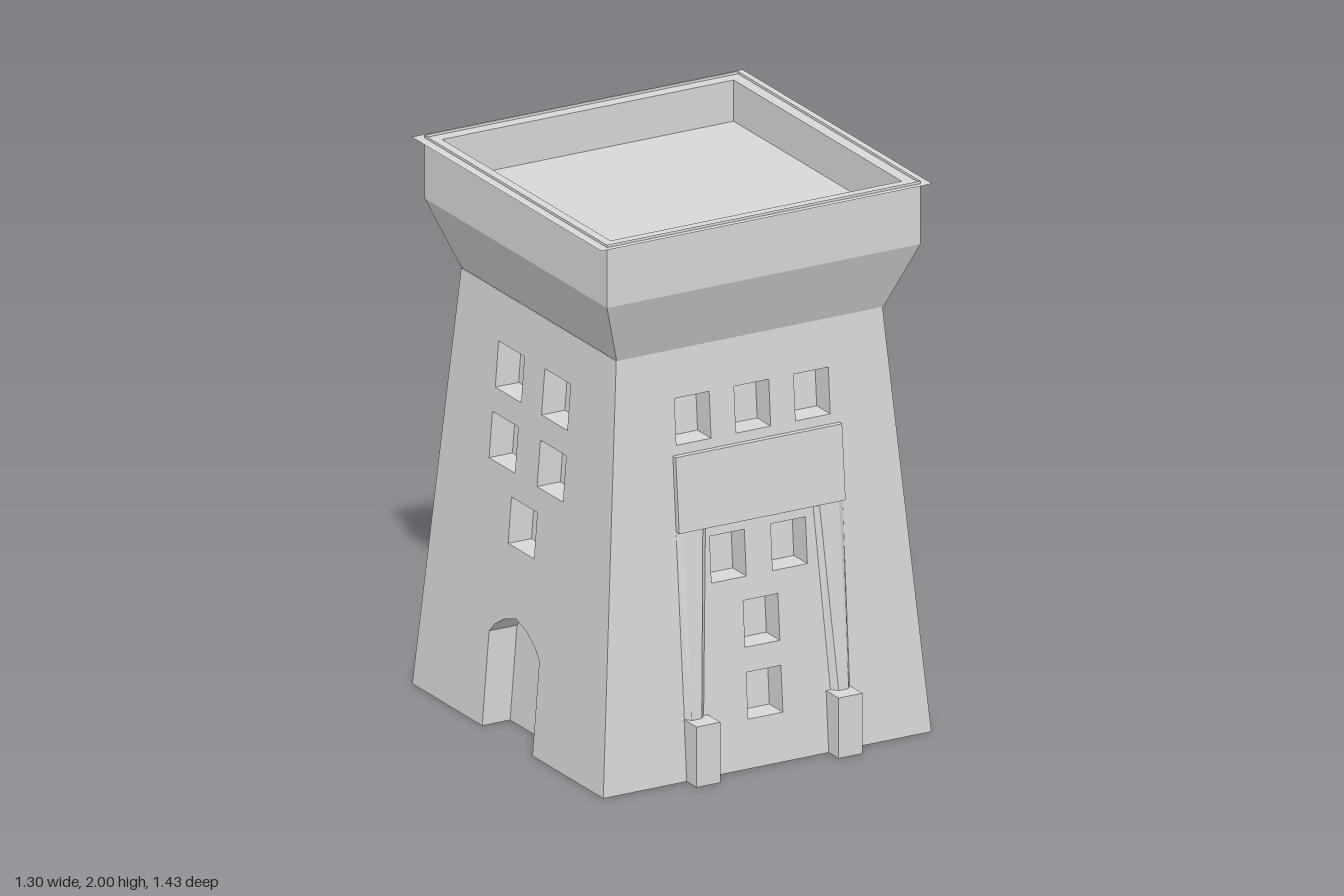
import * as THREE from 'three';

const WALL_TOP = 1.53;
const halfAt = (y) => 0.647 - (0.122 * y) / WALL_TOP; // battered wall half width

export function createModel() {
  const stone = new THREE.MeshStandardMaterial({ color: 0xd8d8d8, flatShading: true, side: THREE.DoubleSide });
  stone.name = 'grey stone';

  const add = (parent, name, geometry) => {
    const mesh = new THREE.Mesh(geometry, stone);
    mesh.name = name;
    parent.add(mesh);
    return mesh;
  };
  const vec2s = (pts) => pts.map(([x, y]) => new THREE.Vector2(x, y));

  // Geometry from a list of four-cornered faces
  const fromQuads = (quads) => {
    const g = new THREE.BufferGeometry();
    const pos = quads.flatMap(([a, b, c, d]) => [...a, ...b, ...c, ...a, ...c, ...d]);
    g.setAttribute('position', new THREE.Float32BufferAttribute(pos, 3));
    g.computeVertexNormals();
    return g;
  };

  // Flat outline laid onto the sloping wall, pushed inward by depth
  const sloped = (shape, depth = 0) => {
    const g = new THREE.ShapeGeometry(shape);
    const p = g.attributes.position;
    for (let i = 0; i < p.count; i++) p.setZ(i, halfAt(p.getY(i)) - depth);
    g.computeVertexNormals();
    return g;
  };

  // Side faces of a recess, running inward along a line of points
  const reveal = (pts, depth) => fromQuads(pts.slice(1).map((b, i) => {
    const a = pts[i], za = halfAt(a[1]), zb = halfAt(b[1]);
    return [[...a, za], [...b, zb], [...b, zb - depth], [...a, za - depth]];
  }));

  // One wall with recessed windows [centre x, bottom y], an optional door and cut-outs
  const makeWall = (name, windows, width, door, cuts) => {
    const wall = new THREE.Group();
    wall.name = name;
    const shape = new THREE.Shape(vec2s([
      [-halfAt(0), 0], ...door, [halfAt(0), 0],
      [halfAt(WALL_TOP), WALL_TOP], [-halfAt(WALL_TOP), WALL_TOP],
    ]));
    for (const cut of cuts) shape.holes.push(new THREE.Path(vec2s(cut)));
    for (const [cx, y] of windows) {
      const l = cx - width / 2, r = cx + width / 2, t = y + 0.166;
      const pts = [[l, y], [l, t], [r, t], [r, y]];
      shape.holes.push(new THREE.Path(vec2s(pts)));
      add(wall, 'windowReveal', reveal([...pts, pts[0]], 0.092));
      add(wall, 'windowBack', sloped(new THREE.Shape(vec2s(pts)), 0.092));
    }
    if (door.length) {
      add(wall, 'doorReveal', reveal(door, 0.11));
      add(wall, 'doorBack', sloped(new THREE.Shape(vec2s(door)), 0.11));
    }
    add(wall, 'wallFace', sloped(shape));
    return wall;
  };

  // Porch relief sections: [y, wall-side x0, x1, face-side x0, x1, face z]
  const PORCH_X = 0.009;
  const w = 0.328;
  const section = (y, b0, b1, f0, f1, z) => [y, ...[b0, b1, f0, f1].map((x) => x + PORCH_X), z];
  const lintel = [
    section(0.885, -w, w, -w, w, halfAt(0.885) + 0.022),
    section(1.155, -w, w, -w, w, halfAt(1.155) + 0.02)];
  const pilasters = [-1, 1].map((s) => [
    section(0.22, s * 0.25, s * 0.326, s * 0.27, s * 0.309, halfAt(0.22) + 0.022),
    section(0.885, s * 0.212, s * w, s * 0.23, s * 0.307, halfAt(0.885) + 0.013)]);
  const plinths = [-1, 1].map((s) => [0, 0.22].map((y) =>
    section(y, s * 0.233, s * 0.327, s * 0.233, s * 0.327, 0.714)));

  // Raised relief, open at the back and below
  const relief = ([low, high]) => {
    const [a, b] = [low, high].map(([y, b0, b1, f0, f1, z]) =>
      [[b0, y, halfAt(y)], [f0, y, z], [f1, y, z], [b1, y, halfAt(y)]]);
    const sides = [0, 1, 2].map((i) => [a[i], a[i + 1], b[i + 1], b[i]]);
    return fromQuads([...sides, b]);
  };

  // Opening in the wall behind a relief, which is hollow
  const cutBehind = ([[y0, a0, a1], [y1, b0, b1]]) =>
    [[a0, y0 + 0.001], [a1, y0 + 0.001], [b1, y1 - 0.001], [b0, y1 - 0.001]];

  // Lintel, two tapering pilasters, two plinths
  const makePorch = () => {
    const porch = new THREE.Group();
    porch.name = 'porch';
    add(porch, 'lintel', relief(lintel));
    const [y, x0, x1, , , z] = lintel[0];
    add(porch, 'lintelSoffit', fromQuads([[[x0, y, halfAt(y)], [x1, y, halfAt(y)], [x1, y, z], [x0, y, z]]]));
    pilasters.forEach((p) => add(porch, 'pilaster', relief(p)));
    plinths.forEach((p) => add(porch, 'plinth', relief(p)));
    return porch;
  };

  const model = new THREE.Group();
  model.name = 'tower';
  const body = new THREE.Group();
  body.name = 'towerBody';
  body.position.set(-0.005, 0, -0.002);
  model.add(body);

  const porchWindows = [
    [-0.235, 1.19], [0, 1.19], [0.235, 1.19],
    [-0.12, 0.68], [0.121, 0.68], [0.001, 0.43], [0.001, 0.175],
  ];
  const doorWindows = [[-0.16, 1.19], [0.153, 1.19], [-0.167, 0.935], [0.158, 0.935], [-0.003, 0.68]];
  const door = [[-0.173, 0], [-0.173, 0.34], [-0.14, 0.375], [-0.08, 0.413], [-0.003, 0.437],
    [0.074, 0.413], [0.134, 0.375], [0.167, 0.34], [0.167, 0]];
  const porchCuts = [lintel, ...pilasters, ...plinths].map(cutBehind);

  // Opposite sides repeat by a half turn
  for (const turn of [0, Math.PI]) {
    const porchSide = makeWall('porchWall', porchWindows, 0.137, [], porchCuts);
    porchSide.add(makePorch());
    porchSide.rotation.y = turn;
    const doorSide = makeWall('doorWall', doorWindows, 0.175, door, []);
    doorSide.rotation.y = turn + Math.PI / 2;
    body.add(porchSide, doorSide);
  }

  // Square section turned from a [half width, y] profile
  const square = (profile) => {
    const pts = vec2s(profile.map(([r, y]) => [r * Math.SQRT2, y]));
    const g = new THREE.LatheGeometry(pts, 4).rotateY(Math.PI / 4).toNonIndexed();
    g.computeVertexNormals();
    return g;
  };

  // Flared parapet
  const parapet = add(model, 'parapet', square([[0.526, 1.53], [0.618, 1.77], [0.618, 2]]));
  parapet.position.set(-0.003, 0, -0.001);

  // Thin projecting rim just below the parapet top, and the sunken roof inside it
  const rect = (x, z) => vec2s([[-x, -z], [x, -z], [x, z], [-x, z]]);
  const rimShape = new THREE.Shape(rect(0.6525, 0.643));
  rimShape.holes.push(new THREE.Path(rect(0.5745, 0.5695)));
  const rim = add(model, 'rim', new THREE.ShapeGeometry(rimShape).rotateX(-Math.PI / 2));
  rim.position.set(-0.0025, 1.99, -0.005);
  const roof = add(model, 'sunkenRoof', square([[1, 1.99], [1, 1.84], [0, 1.84]]).scale(0.5745, 1, 0.5695));
  roof.position.set(-0.0025, 0, -0.005);

  return model;
}
